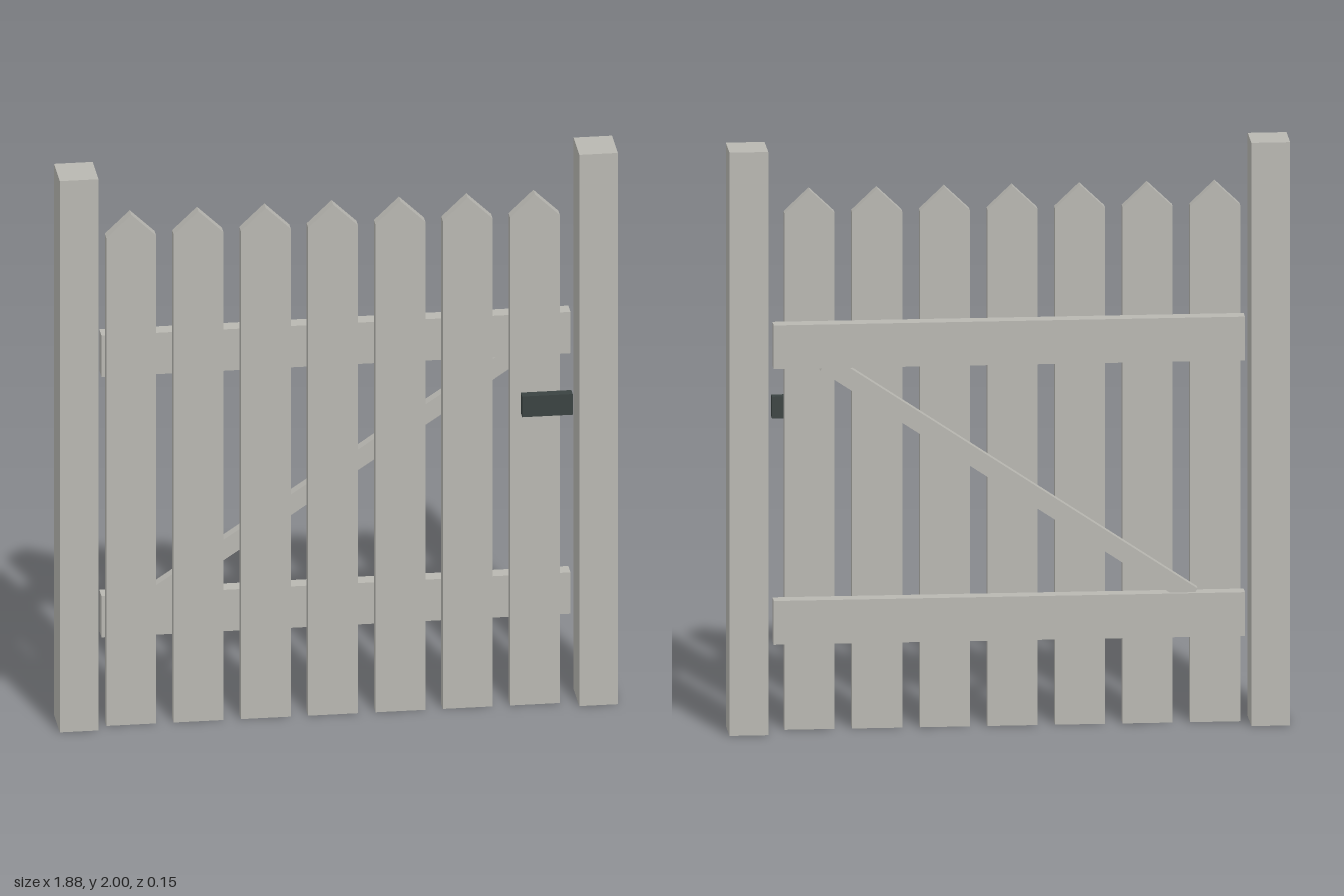
import * as THREE from 'three';

export function createModel() {
  const gate = new THREE.Group();
  gate.name = 'picketGate';

  const wood = new THREE.MeshStandardMaterial({ color: 0xb8b7b1 });
  wood.name = 'weathered wood';
  const iron = new THREE.MeshStandardMaterial({ color: 0x3a4241 });
  iron.name = 'dark iron';

  function add(name, geometry, material, x, y, z) {
    const mesh = new THREE.Mesh(geometry, material);
    mesh.name = name;
    mesh.position.set(x, y, z);
    gate.add(mesh);
    return mesh;
  }
  const box = (w, h, d) => new THREE.BoxGeometry(w, h, d);

  // Square posts on both sides
  add('leftPost', box(0.13, 2, 0.15), wood, 0.875, 1, 0);
  add('rightPost', box(0.13, 2, 0.15), wood, -0.875, 1, 0);

  // Pointed pickets, slightly offset towards the hinge side
  const hw = 0.084;
  const outline = new THREE.Shape([
    new THREE.Vector2(-hw, 0),
    new THREE.Vector2(hw, 0),
    new THREE.Vector2(hw, 1.77),
    new THREE.Vector2(0, 1.85),
    new THREE.Vector2(-hw, 1.77),
  ]);
  const picket = new THREE.ExtrudeGeometry(outline, { depth: 0.04, bevelEnabled: false });
  for (let i = 0; i < 7; i++) {
    add(`picket${i + 1}`, picket, wood, -0.695 + i * 0.2267, 0, 0);
  }

  // Horizontal rails behind the pickets
  const rail = box(1.58, 0.15, 0.055);
  add('lowerRail', rail, wood, 0, 0.38, -0.0275);
  add('upperRail', rail, wood, 0, 1.325, -0.0275);

  // Diagonal brace, its ends tucked into the rails
  const brace = add('brace', box(1.48, 0.062, 0.04), wood, 0, 0.8525, -0.02);
  brace.rotation.z = Math.atan2(0.795, 1.19);

  // Latch on the front
  add('latch', box(0.17, 0.075, 0.035), iron, 0.703, 1.096, 0.0575);

  return gate;
}
